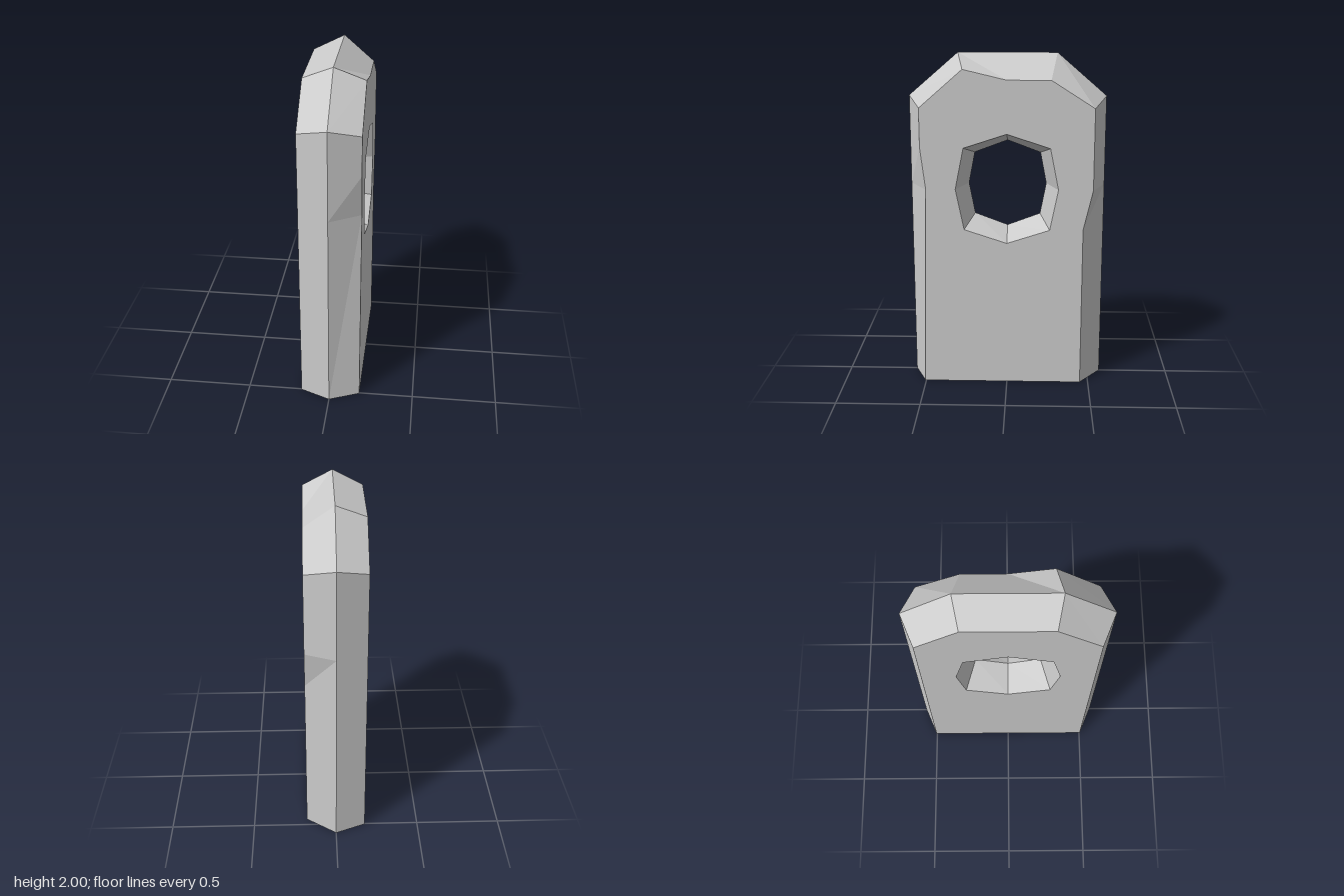
import * as THREE from 'three';

const HALF = 0.177; // half thickness of the slab

// Outlines as [z, y], running up the front edge, over the top, down the back.
const ridge = [[0.58, 0], [0.58, 1.22], [0.58, 1.47], [0.58, 1.75], [0.29, 2], [0, 2],
  [-0.29, 2], [-0.58, 1.75], [-0.58, 1.22], [-0.58, 0.98], [-0.58, 0]];
const plainFace = [[0.505, 0], [0.505, 1.22], [0.505, 1.47], [0.505, 1.7], [0.253, 1.92], [0, 1.92],
  [-0.253, 1.92], [-0.505, 1.7], [-0.505, 1.22], [-0.505, 0.98], [-0.505, 0]];
// Chipped and worn edges on the other side
const wornFace = [[0.505, 0], [0.475, 1.22], [0.505, 1.47], [0.505, 1.7], [0.253, 1.92], [0, 1.86],
  [-0.253, 1.86], [-0.505, 1.7], [-0.505, 1.22], [-0.45, 0.98], [-0.45, 0]];

// Eight-sided opening, listed the opposite way round so its walls face inward
const opening = (side, diagZ, diagY, top) => [
  [0, 1.2225 + top], [-diagZ, 1.2225 + diagY], [-side, 1.2225], [-diagZ, 1.2225 - diagY],
  [0, 1.2225 - top], [diagZ, 1.2225 - diagY], [side, 1.2225], [diagZ, 1.2225 + diagY],
].reverse();
const holeOuter = opening(0.302, 0.253, 0.245, 0.328);
const holeInner = opening(0.232, 0.196, 0.188, 0.262);

// Joins closed outlines placed at successive x positions
function loft(rings, xs) {
  const pos = [];
  for (let r = 0; r < rings.length - 1; r++) {
    const n = rings[r].length;
    for (let i = 0; i < n; i++) {
      const j = (i + 1) % n;
      const at = (k, m) => [xs[k], rings[k][m][1], rings[k][m][0]];
      const a = at(r, i), b = at(r, j), c = at(r + 1, j), d = at(r + 1, i);
      pos.push(...a, ...d, ...c, ...a, ...c, ...b);
    }
  }
  const g = new THREE.BufferGeometry();
  g.setAttribute('position', new THREE.Float32BufferAttribute(pos, 3));
  g.computeVertexNormals();
  return g;
}

// Flat side with the opening cut out; sign picks +x or -x
function sideFace(outline, sign) {
  const pts = (list) => list.map(([z, y]) => new THREE.Vector2(-sign * z, y));
  const shape = new THREE.Shape(pts(outline));
  shape.holes.push(new THREE.Path(pts(holeOuter)));
  return new THREE.ShapeGeometry(shape).rotateY(sign * Math.PI / 2).translate(sign * HALF, 0, 0);
}

export function createModel() {
  const group = new THREE.Group();
  group.name = 'standingStone';
  const material = new THREE.MeshStandardMaterial({ color: 0xcccccc, flatShading: true });
  const add = (name, geometry) => {
    const mesh = new THREE.Mesh(geometry, material);
    mesh.name = name;
    group.add(mesh);
  };
  const xs = [-HALF, 0, HALF];

  // Bevelled rim, including the base
  add('bevelledRim', loft([plainFace, ridge, wornFace], xs));
  // Walls of the opening, narrowing to the middle
  add('openingWalls', loft([holeOuter, holeInner, holeOuter], xs));
  // Broad sides
  add('leftFace', sideFace(wornFace, 1));
  add('rightFace', sideFace(plainFace, -1));
  return group;
}
